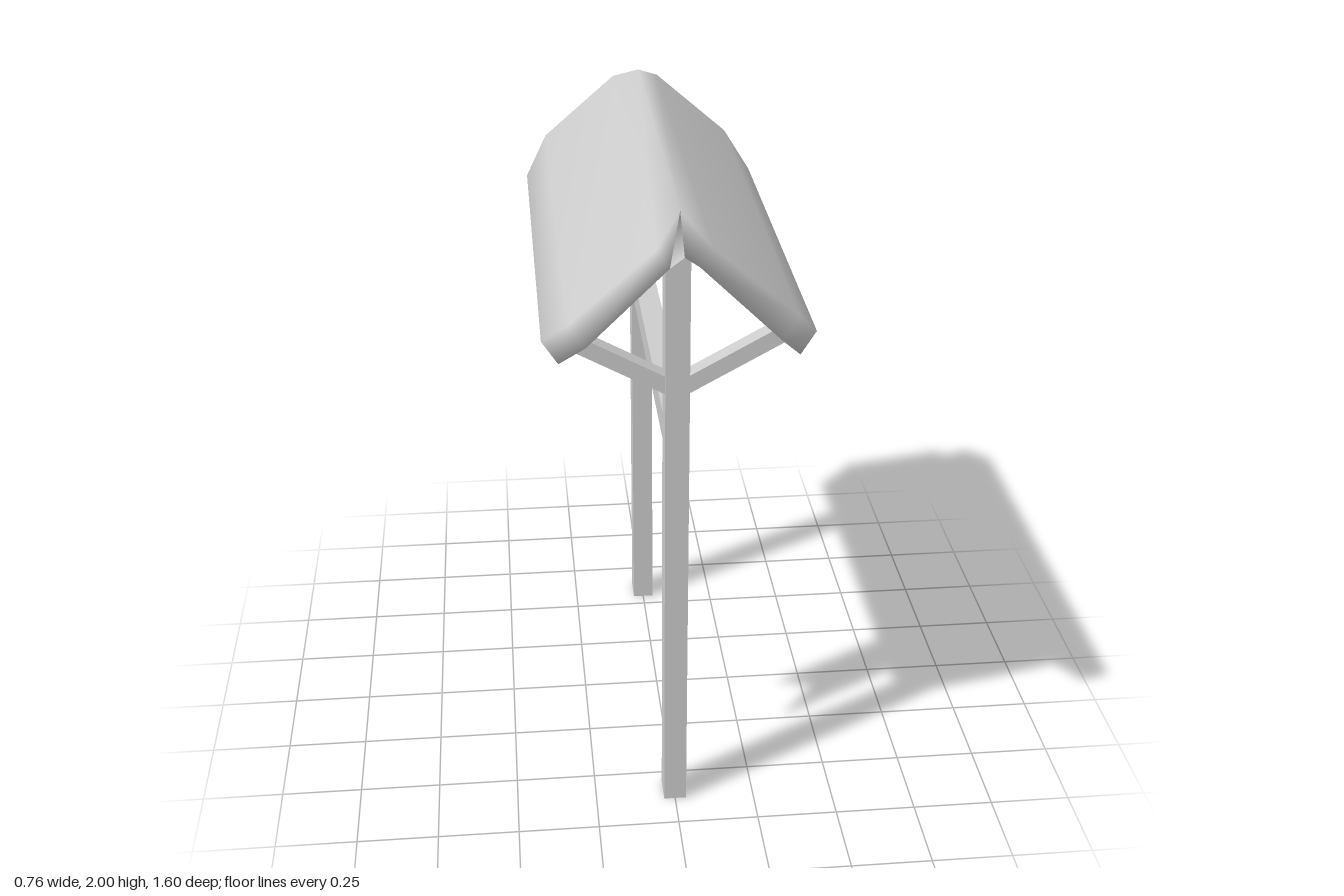
import * as THREE from 'three';

const grey = new THREE.MeshStandardMaterial({ color: 0xcccccc, side: THREE.DoubleSide });

function add(parent, name, geometry, x = 0, y = 0, z = 0) {
  const mesh = new THREE.Mesh(geometry, grey);
  mesh.name = name;
  mesh.position.set(x, y, z);
  parent.add(mesh);
  return mesh;
}

// Box without some faces (0 +x, 1 -x, 2 +y, 3 -y, 4 +z, 5 -z)
function openBox(w, h, d, openFaces) {
  const geometry = new THREE.BoxGeometry(w, h, d);
  const index = Array.from(geometry.index.array);
  geometry.setIndex(index.filter((_, i) => !openFaces.includes(Math.floor(i / 6))));
  geometry.clearGroups();
  return geometry;
}

// Gabled slab with clipped corners; each point is [x, y, half length]
function roofGeometry() {
  const mirror = half => [...half.slice(1).reverse().map(([x, y, z]) => [-x, y, z]), ...half];
  const layers = [
    mirror([[0, 2, 0.67], [0.075, 1.943, 0.8], [0.31, 1.74, 0.8], [0.38, 1.64, 0.68]]),
    mirror([[0, 1.915, 0.79], [0.04, 1.89, 0.8], [0.265, 1.67, 0.8], [0.335, 1.575, 0.69]]),
  ];
  const positions = [];
  for (const layer of layers)
    for (const [x, y, z] of layer) positions.push(x, y, z, x, y, -z);

  const top = (i, back) => i * 2 + back;
  const under = (i, back) => 14 + i * 2 + back;
  const index = [];
  const quad = (a, b, c, d) => index.push(a, b, c, a, c, d);
  for (let i = 0; i < 6; i++) {
    const j = i + 1;
    quad(top(i, 0), top(j, 0), top(j, 1), top(i, 1));
    quad(under(i, 1), under(j, 1), under(j, 0), under(i, 0));
    quad(under(i, 0), under(j, 0), top(j, 0), top(i, 0));
    quad(top(i, 1), top(j, 1), under(j, 1), under(i, 1));
  }
  // Eaves
  quad(under(6, 0), under(6, 1), top(6, 1), top(6, 0));
  quad(top(0, 0), top(0, 1), under(0, 1), under(0, 0));

  const geometry = new THREE.BufferGeometry();
  geometry.setAttribute('position', new THREE.Float32BufferAttribute(positions, 3));
  geometry.setIndex(index);
  geometry.computeVertexNormals();
  return geometry;
}

export function createModel() {
  const model = new THREE.Group();
  model.name = 'roofedSignFrame';

  add(model, 'roof', roofGeometry());

  // Posts, open underneath, each with a pair of angled roof braces
  const angle = Math.atan2(0.16, 0.29);
  for (const [end, z, braceZ] of [['front', 0.592, 0.603], ['back', -0.592, -0.582]]) {
    add(model, end + 'Post', openBox(0.07, 1.92, 0.085, [3]), 0, 0.96, z);
    for (const [side, s] of [['Left', 1], ['Right', -1]]) {
      const brace = add(model, end + side + 'Brace',
        openBox(0.32, 0.048, 0.055, [0, 1, 3]), s * 0.165, 1.539, braceZ);
      brace.rotation.z = s * angle;
    }
  }

  // Beam between the posts
  add(model, 'crossbeam', openBox(0.07, 0.085, 1.1, [4, 5]), 0, 1.3025, 0);

  // Swallow-tailed banner hanging from the beam
  const outline = [[-0.095, 1.346], [-0.095, 0.56], [0, 0.735], [0.095, 0.56], [0.095, 1.346]];
  const shape = new THREE.Shape(outline.map(([u, v]) => new THREE.Vector2(u, v)));
  const banner = add(model, 'banner', new THREE.ShapeGeometry(shape), 0, 0, 0.363);
  banner.rotation.y = Math.PI / 2;

  return model;
}
